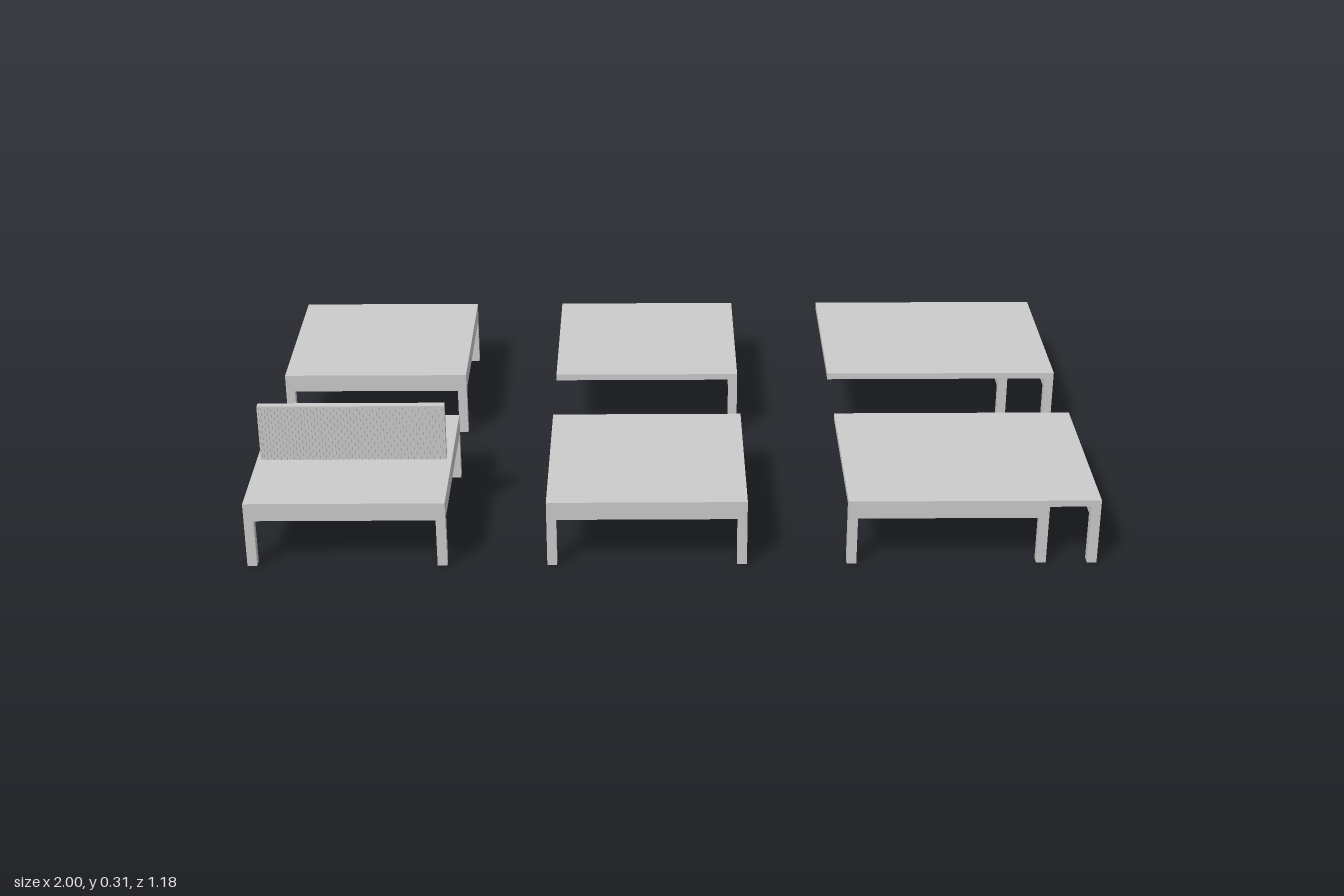
import * as THREE from 'three';

const material = new THREE.MeshStandardMaterial({ color: 0xcccccc, flatShading: true });

const DEPTH = 0.47;      // depth of every desk
const TOP = 0.165;       // worktop surface height
const SLAB = 0.016;      // worktop thickness
const RAIL_BOTTOM = 0.12;
const LEG = 0.023;       // leg and rail thickness

// Box given by its minimum and maximum corners
function box(parent, name, x0, x1, y0, y1, z0, z1) {
  const mesh = new THREE.Mesh(new THREE.BoxGeometry(x1 - x0, y1 - y0, z1 - z0), material);
  mesh.name = name;
  mesh.position.set((x0 + x1) / 2, (y0 + y1) / 2, (z0 + z1) / 2);
  parent.add(mesh);
}

// Desk module: legs as [x, z] outer corners, rails along x (fixed z) and along z (fixed x)
function makeDesk(name, x0, x1, z0, { legs, railsX = [], railsZ = [] }) {
  const desk = new THREE.Group();
  desk.name = name;
  const z1 = z0 + DEPTH;
  const under = TOP - SLAB;
  box(desk, 'worktop', x0, x1, under, TOP, z0, z1);
  for (const [x, z] of legs) box(desk, 'leg', x, x + LEG, 0, under, z, z + LEG);
  for (const [a, b, z] of railsX) box(desk, 'longRail', a + LEG, b, RAIL_BOTTOM, under, z, z + LEG);
  for (const x of railsZ) box(desk, 'sideRail', x, x + LEG, RAIL_BOTTOM, under, z0 + LEG, z1 - LEG);
  return desk;
}

// Ribbed divider panel
function makeDivider(x0, x1, y0, y1, z0, z1) {
  const divider = new THREE.Group();
  divider.name = 'dividerScreen';
  const edge = 0.004, ribs = 56;
  box(divider, 'core', x0 + edge, x1 - edge, y0, y1 - edge, z0 + 0.003, z1 - 0.003);
  box(divider, 'cap', x0, x1, y1 - edge, y1, z0, z1);
  for (const x of [x0, x1 - edge]) box(divider, 'endStrip', x, x + edge, y0, y1 - edge, z0, z1);
  const pitch = (x1 - x0 - 2 * edge) / ribs;
  for (let i = 0; i < ribs; i++) {
    const x = x0 + edge + (i + 0.25) * pitch;
    box(divider, 'rib', x, x + pitch * 0.5, y0, y1 - edge, z0, z1);
  }
  return divider;
}

export function createModel() {
  const model = new THREE.Group();
  model.name = 'modularDesks';

  for (const [row, z0] of [['front', 0.118], ['back', -0.588]]) {
    const isFront = row === 'front';
    const zFar = z0 + DEPTH - LEG;

    // Freestanding desk: four legs and a full frame
    let a = -1, b = -0.53 - LEG;
    model.add(makeDesk(row + 'FreestandingDesk', a, b + LEG, z0, {
      legs: [[a, z0], [a, zFar], [b, z0], [b, zFar]],
      railsX: [[a, b, z0], [a, b, zFar]],
      railsZ: [a, b],
    }));

    // Add-on desk: legs on its left side, plus a front corner leg in the front row
    a = -0.295; b = 0.175 - LEG;
    model.add(makeDesk(row + 'AddOnDesk', a, b + LEG, z0, {
      legs: [[b, z0], [b, zFar], ...(isFront ? [[a, zFar]] : [])],
      railsX: isFront ? [[a, b, zFar]] : [],
      railsZ: [b],
    }));

    // Extended desk: add-on desk with a second pair of legs at the outer end
    a = 0.41; b = 0.88 - LEG;
    const end = 1 - LEG;
    model.add(makeDesk(row + 'ExtendedDesk', a, 1, z0, {
      legs: [[b, z0], [b, zFar], [end, z0], [end, zFar], ...(isFront ? [[a, zFar]] : [])],
      railsX: isFront ? [[a, b, zFar]] : [],
      railsZ: [b, end],
    }));
  }

  model.add(makeDivider(-0.99, -0.543, TOP, 0.308, 0.345, 0.363));
  return model;
}
